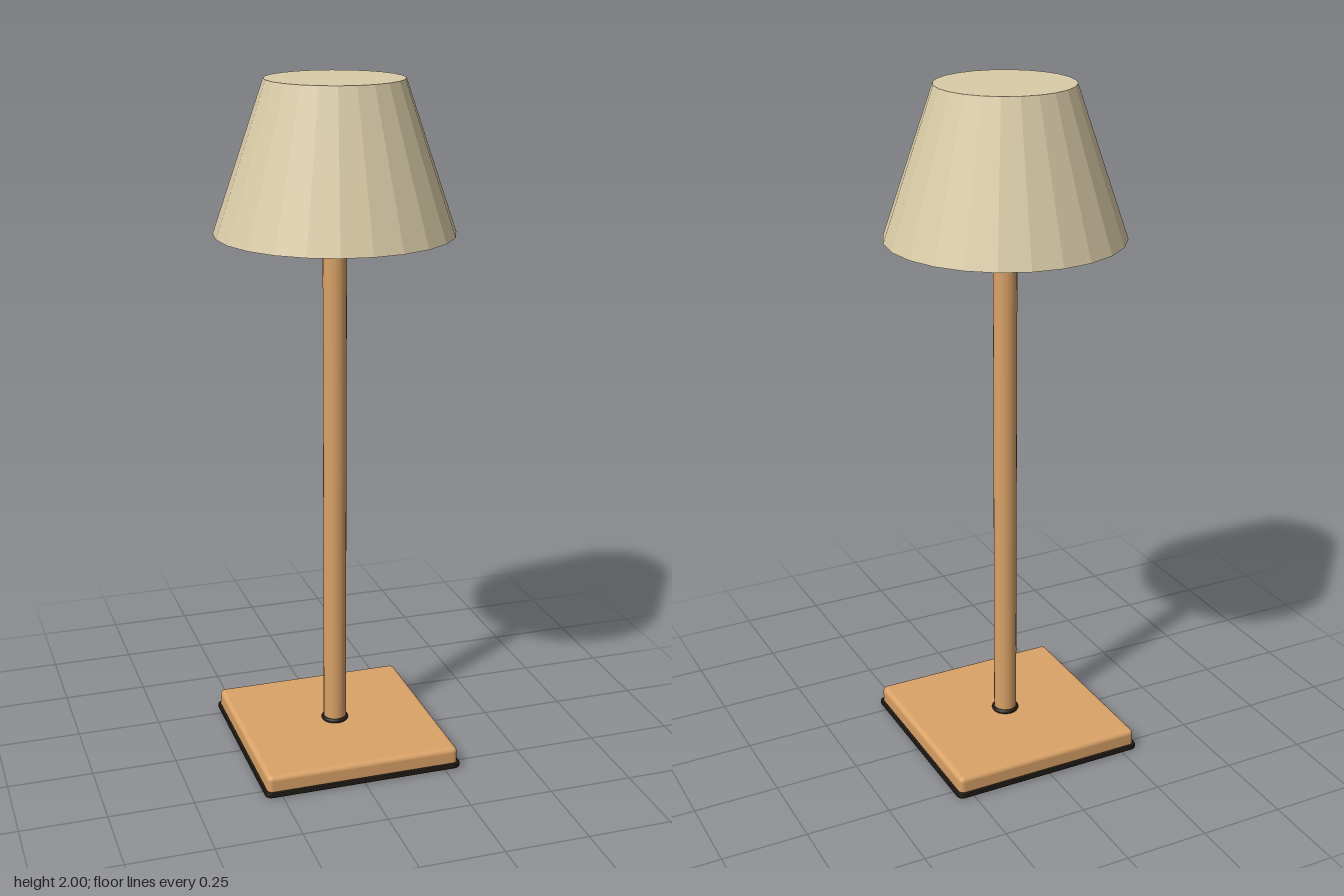
import * as THREE from 'three';
import { RoundedBoxGeometry } from 'three/addons/geometries/RoundedBoxGeometry.js';

// Traces a centred rounded square onto a Shape or Path.
function roundedSquare(path, half, r) {
  const c = half - r;
  path.absarc(c, c, r, 0, Math.PI / 2);
  path.absarc(-c, c, r, Math.PI / 2, Math.PI);
  path.absarc(-c, -c, r, Math.PI, Math.PI * 1.5);
  path.absarc(c, -c, r, Math.PI * 1.5, Math.PI * 2);
  path.closePath();
  return path;
}

export function createModel() {
  const group = new THREE.Group();

  const material = (name, color, flatShading = false) => {
    const m = new THREE.MeshStandardMaterial({ color, flatShading });
    m.name = name;
    return m;
  };
  const wood = material('wood', 0xdba368);
  const fabric = material('shadeFabric', 0xdacca8, true);
  const rubber = material('darkTrim', 0x201a15);

  const add = (name, geometry, mat, y) => {
    const mesh = new THREE.Mesh(geometry, mat);
    mesh.name = name;
    mesh.position.y = y;
    group.add(mesh);
    return mesh;
  };

  // Square base plate with softened edges
  add('base', new RoundedBoxGeometry(0.584, 0.065, 0.584, 3, 0.015), wood, 0.0325);

  // Dark band around the foot of the base
  const band = roundedSquare(new THREE.Shape(), 0.296, 0.016);
  band.holes.push(roundedSquare(new THREE.Path(), 0.28, 0.008));
  const bandGeometry = new THREE.ExtrudeGeometry(band, {
    depth: 0.008, bevelEnabled: true, bevelThickness: 0.004, bevelSize: 0.004,
    bevelSegments: 2, curveSegments: 5,
  });
  bandGeometry.rotateX(-Math.PI / 2);
  add('baseTrim', bandGeometry, rubber, 0.006);

  // Dark ring where the pole meets the base
  const ring = new THREE.TorusGeometry(0.034, 0.007, 8, 24);
  ring.rotateX(Math.PI / 2);
  add('poleRing', ring, rubber, 0.07);

  // Pole from the base up to the shade
  add('pole', new THREE.CylinderGeometry(0.034, 0.034, 1.53, 24), wood, 0.06 + 1.53 / 2);

  // Faceted, closed lampshade
  add('lampshade', new THREE.CylinderGeometry(0.195, 0.34, 0.425, 24), fabric, 2 - 0.425 / 2);

  return group;
}
